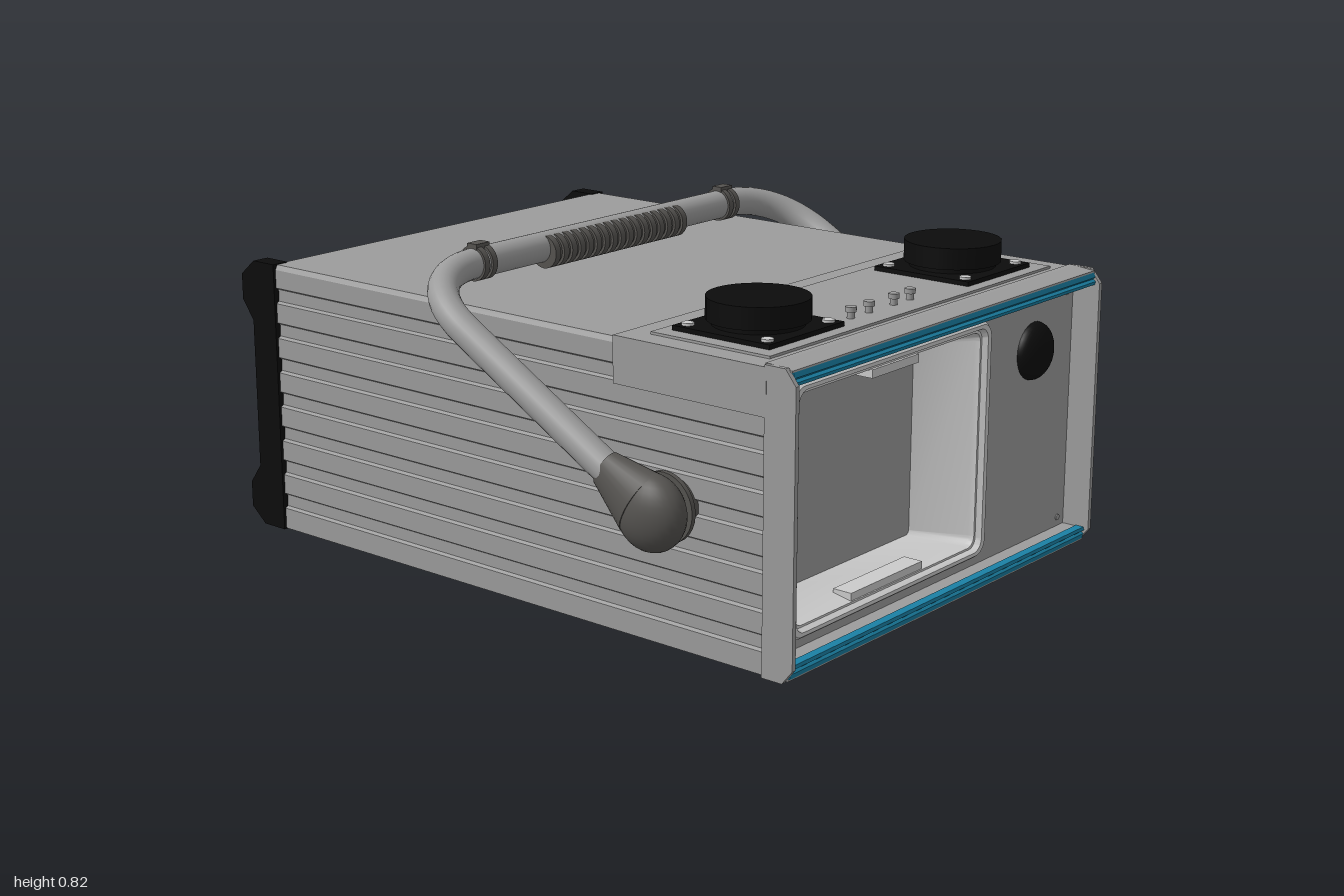
import * as THREE from 'three';
import { toCreasedNormals } from 'three/addons/utils/BufferGeometryUtils.js';

const mat = (color) => new THREE.MeshStandardMaterial({ color, side: THREE.DoubleSide });
const M = {
  grey: mat(0x9c9c9c), light: mat(0xcccccc), dark: mat(0x555350), black: mat(0x0c0c0c),
  blue: mat(0x1a80a4), yellow: mat(0xd8b010), green: mat(0x10c030), red: mat(0xd01818),
};

export function createModel() {
  const model = new THREE.Group();
  const unit = new THREE.Group();
  unit.name = 'instrumentCase';
  unit.rotation.y = THREE.MathUtils.degToRad(15);
  unit.position.set(-0.019, 0, 0.005);
  model.add(unit);

  const add = (name, geo, material, x = 0, y = 0, z = 0) => {
    const m = new THREE.Mesh(geo, material);
    m.name = name;
    m.position.set(x, y, z);
    unit.add(m);
    return m;
  };
  const box = (name, m, w, h, d, x, y, z) => add(name, new THREE.BoxGeometry(w, h, d), m, x, y, z);
  const disc = (name, m, r, h, x, y, z, axis = 'y') => {
    const g = new THREE.CylinderGeometry(r, r, h, 28);
    if (axis === 'z') g.rotateX(Math.PI / 2);
    if (axis === 'x') g.rotateZ(Math.PI / 2);
    return add(name, g, m, x, y, z);
  };
  const shapeOf = (pts) => new THREE.Shape(pts.map(([a, b]) => new THREE.Vector2(a, b)));
  // Solid with a (z, y) outline, extruded along x
  const prism = (name, m, pts, width, x) => {
    const g = new THREE.ExtrudeGeometry(shapeOf(pts), { depth: width, bevelEnabled: false });
    g.rotateY(-Math.PI / 2).translate(width / 2, 0, 0);
    return add(name, g, m, x);
  };
  const roundedRect = (w, h, r, cx = 0, cy = 0) => {
    const s = new THREE.Shape(), a = w / 2 - r, b = h / 2 - r, q = Math.PI / 2;
    s.absarc(cx + a, cy + b, r, 0, q);
    s.absarc(cx - a, cy + b, r, q, 2 * q);
    s.absarc(cx - a, cy - b, r, 2 * q, 3 * q);
    s.absarc(cx + a, cy - b, r, 3 * q, 4 * q);
    return s;
  };

  // Case body: grooved side walls, sunken rear panel and a window opening in the front section
  const winX = -0.16, winY = 0.375, face = 0.79, back = -0.732;
  const side = [[0.607, 0.027]];
  for (let i = 0; i < 7; i++) {
    const y = 0.1 + i * 0.089;
    side.push([0.607, y - 0.02], [0.599, y - 0.015], [0.599, y + 0.015], [0.607, y + 0.02]);
  }
  side.push([0.607, 0.7], [0.6, 0.712]);
  const mirrored = (pts) => [...pts, ...pts.slice().reverse().map(([x, y]) => [-x, y])];
  const section = (name, pts, z0, z1, hole) => {
    const s = shapeOf(mirrored(pts));
    if (hole) s.holes.push(hole);
    add(name, new THREE.ExtrudeGeometry(s, { depth: z1 - z0, bevelEnabled: false }), M.grey, 0, 0, z0);
  };
  const opening = roundedRect(0.725, 0.545, 0.03, winX, winY);
  section('rearRim', side, -0.765, back, roundedRect(1.17, 0.664, 0.004, 0, 0.37));
  section('caseBody', side, back, 0.64);
  section('caseFront', side, 0.64, 0.775, opening);
  section('frontPanel', [[0.607, 0.027], [0.607, 0.712]], 0.775, face, opening);

  // Raised cover over the front part of the case
  box('coverTop', M.grey, 1.235, 0.06, 0.425, 0, 0.69, 0.573);
  box('coverPlate', M.grey, 1.12, 0.008, 0.33, 0, 0.722, 0.585);
  for (const s of [-1, 1]) box('coverSkirt', M.grey, 0.014, 0.11, 0.425, s * 0.6105, 0.665, 0.573);

  // Front bezel: side cheeks and mirrored rails with blue strips
  const flip = (pts) => pts.map(([z, y]) => [z, 0.75 - y]);
  const cheek = [[0.78, 0.025], [0.835, 0.025], [0.863, 0.06], [0.863, 0.69], [0.835, 0.725], [0.78, 0.725]];
  for (const s of [-1, 1]) prism('bezelCheek', M.grey, cheek, 0.012, s * 0.611);
  const rail = [[0.775, 0.688], [0.83, 0.688], [0.83, 0.716], [0.847, 0.716], [0.846, 0.72], [0.79, 0.726], [0.775, 0.726]];
  const strip = [[0.828, 0.686], [0.85, 0.686], [0.852, 0.694], [0.845, 0.699], [0.85, 0.704], [0.847, 0.716], [0.828, 0.716]];
  for (const f of [(p) => p, flip]) {
    prism('bezelRail', M.grey, f(rail), 1.215, 0);
    prism('bezelStrip', M.blue, f(strip), 1.21, 0);
  }
  for (const x of [-0.585, 0.575]) for (const y of [0.085, 0.665]) disc('panelScrew', M.grey, 0.008, 0.006, x, y, face, 'z');

  // Window frame and tapered recess lofted through rounded rectangles: width, height, radius, z
  const rings = [
    [0.772, 0.58, 0.04, 0.785], [0.772, 0.58, 0.04, 0.797], [0.76, 0.568, 0.035, 0.804], [0.732, 0.55, 0.03, 0.804],
    [0.72, 0.538, 0.025, 0.79], [0.708, 0.528, 0.025, 0.79], [0.702, 0.522, 0.022, 0.775], [0.535, 0.48, 0.012, 0.66],
  ].map(([w, h, r, z]) => roundedRect(w, h, r).getPoints(6).map((p) => [p.x, p.y, z]));
  const n = rings[0].length, index = [];
  for (let k = 0; k + 1 < rings.length; k++) {
    for (let i = 0; i < n; i++) {
      const a = k * n + i, b = k * n + (i + 1) % n;
      index.push(a, b, a + n, b, b + n, a + n);
    }
  }
  const loft = new THREE.BufferGeometry();
  loft.setAttribute('position', new THREE.Float32BufferAttribute(rings.flat(2), 3));
  loft.setIndex(index);
  add('windowFrame', toCreasedNormals(loft, 0.5), M.light, winX, winY);
  box('windowScreen', M.grey, 0.55, 0.495, 0.01, winX, winY, 0.656);
  box('windowClip', M.light, 0.18, 0.02, 0.05, winX, winY + 0.255, 0.772);
  box('windowClip', M.light, 0.28, 0.02, 0.05, winX, winY - 0.255, 0.762);

  // Round front button
  const dome = new THREE.SphereGeometry(0.072, 32, 12, 0, Math.PI * 2, 0, Math.PI / 2).rotateX(Math.PI / 2).scale(1, 1, 0.55);
  add('frontButton', dome, M.black, 0.43, 0.545, face);

  // Top fans on square plates, and small pegs between them
  for (const x of [-0.385, 0.38]) {
    box('fanPlate', M.black, 0.27, 0.014, 0.27, x, 0.73, 0.583);
    disc('fanNeck', M.black, 0.105, 0.02, x, 0.745, 0.583);
    disc('fanCap', M.black, 0.118, 0.052, x, 0.775, 0.583);
    for (const a of [-1, 1]) for (const b of [-1, 1]) disc('fanScrew', M.light, 0.014, 0.008, x + a * 0.11, 0.739, 0.583 + b * 0.11);
  }
  for (const x of [-0.18, -0.11, -0.013, 0.052]) {
    disc('topPeg', M.grey, 0.009, 0.03, x, 0.735, 0.685);
    disc('topPegHead', M.grey, 0.013, 0.012, x, 0.747, 0.685);
  }

  // Feet: pairs of strips joined by a thin base
  for (const s of [-1, 1]) {
    for (const [z, len, w] of [[0.705, 0.08, 0.052], [-0.562, 0.21, 0.058]]) {
      box('footBase', M.grey, w, 0.018, len, s * 0.483 - 0.01, 0.023, z);
      for (const t of [-1, 1]) box('footStrip', M.grey, w * 0.36, 0.02, len, s * 0.483 - 0.01 + t * w * 0.32, 0.01, z);
    }
  }

  // Black rear corner guards with thicker ends
  const half = [[-0.757, 0.714], [-0.83, 0.714], [-0.876, 0.675], [-0.876, 0.61], [-0.84, 0.56]];
  const guard = [...half, ...half.slice().reverse().map(([z, y]) => [z, 0.739 - y])];
  for (const s of [-1, 1]) prism('rearGuard', M.black, guard, 0.046, s * 0.591);

  // Rear panel: screws, indicator lamps, power socket and jack
  for (const x of [0.53, 0.39, 0.195, -0.04, -0.12, -0.21, -0.28, -0.35, -0.42]) {
    for (const y of [0.06, 0.68]) disc('rearScrew', M.grey, 0.014, 0.014, x, y, back, 'z');
  }
  ['yellow', 'green', 'red', 'black'].forEach((c, i) => {
    const y = 0.637 - i * 0.068;
    disc('lampRing', M.dark, 0.026, 0.012, 0.125, y, back, 'z');
    disc('lamp', M[c], 0.022, 0.024, 0.125, y, back, 'z');
  });
  const plate = new THREE.ExtrudeGeometry(shapeOf(mirrored([[0.045, -0.12], [0.075, -0.08], [0.075, 0.08], [0.045, 0.12]])),
    { depth: 0.02, bevelEnabled: false });
  add('powerSocket', plate, M.black, -0.48, 0.5, back - 0.02);
  box('powerSwitch', M.light, 0.07, 0.06, 0.042, -0.48, 0.55, back - 0.022);
  box('socketInlet', M.dark, 0.08, 0.06, 0.006, -0.48, 0.45, back - 0.021);
  disc('rearJack', M.black, 0.028, 0.02, -0.485, 0.23, back, 'z');
  disc('rearJackCore', M.light, 0.01, 0.026, -0.485, 0.23, back, 'z');

  // Carrying handle: two arms and a bar joined by round bends
  const barY = 0.775, barZ = -0.198, pivY = 0.363, pivZ = 0.525, armX = 0.68;
  const arm = (s, t) => new THREE.Vector3(s * armX, pivY + (barY - pivY) * t, pivZ + (barZ - pivZ) * t);
  const bar = (x) => new THREE.Vector3(x, barY, barZ);
  const path = new THREE.CurvePath();
  const bend = (s) => [arm(s, 0.76), arm(s, 0.923), arm(s, 1).lerp(bar(s * 0.47), 0.42), bar(s * 0.47)];
  path.add(new THREE.LineCurve3(arm(-1, 0.08), arm(-1, 0.76)));
  path.add(new THREE.CubicBezierCurve3(...bend(-1)));
  path.add(new THREE.LineCurve3(bar(-0.47), bar(0.47)));
  path.add(new THREE.CubicBezierCurve3(...bend(1).reverse()));
  path.add(new THREE.LineCurve3(arm(1, 0.76), arm(1, 0.08)));
  add('handleTube', new THREE.TubeGeometry(path, 120, 0.037, 20), M.grey);

  // Ribbed grip on the front underside of the bar, and clamps
  disc('grip', M.dark, 0.036, 0.49, 0, barY - 0.009, barZ + 0.012, 'x');
  for (let i = 0; i < 17; i++) disc('gripRib', M.dark, 0.041, 0.018, -0.24 + i * 0.03, barY - 0.009, barZ + 0.014, 'x');
  for (const s of [-1, 1]) {
    for (const t of [-1, 1]) disc('handleClamp', M.dark, 0.043, 0.016, s * 0.46 + t * 0.013, barY, barZ, 'x');
    box('clampLug', M.dark, 0.045, 0.014, 0.03, s * 0.46, barY + 0.041, barZ);
  }

  // Handle hubs: washers, domed cap and a taper toward the arm
  const tilt = Math.atan2(barZ - pivZ, barY - pivY);
  for (const s of [-1, 1]) {
    disc('hubWasher', M.dark, 0.065, 0.03, s * 0.613, pivY, pivZ, 'x');
    disc('hubWasher', M.dark, 0.082, 0.012, s * 0.636, pivY, pivZ, 'x');
    add('hubCap', new THREE.SphereGeometry(0.09, 28, 18).scale(0.66, 1, 1), M.dark, s * 0.682, pivY, pivZ);
    const taper = new THREE.CylinderGeometry(0.046, 0.084, 0.12, 28).scale(0.7, 1, 1).translate(0, 0.09, 0).rotateX(tilt);
    add('hubTaper', taper, M.dark, s * 0.682, pivY, pivZ);
  }
  return model;
}
